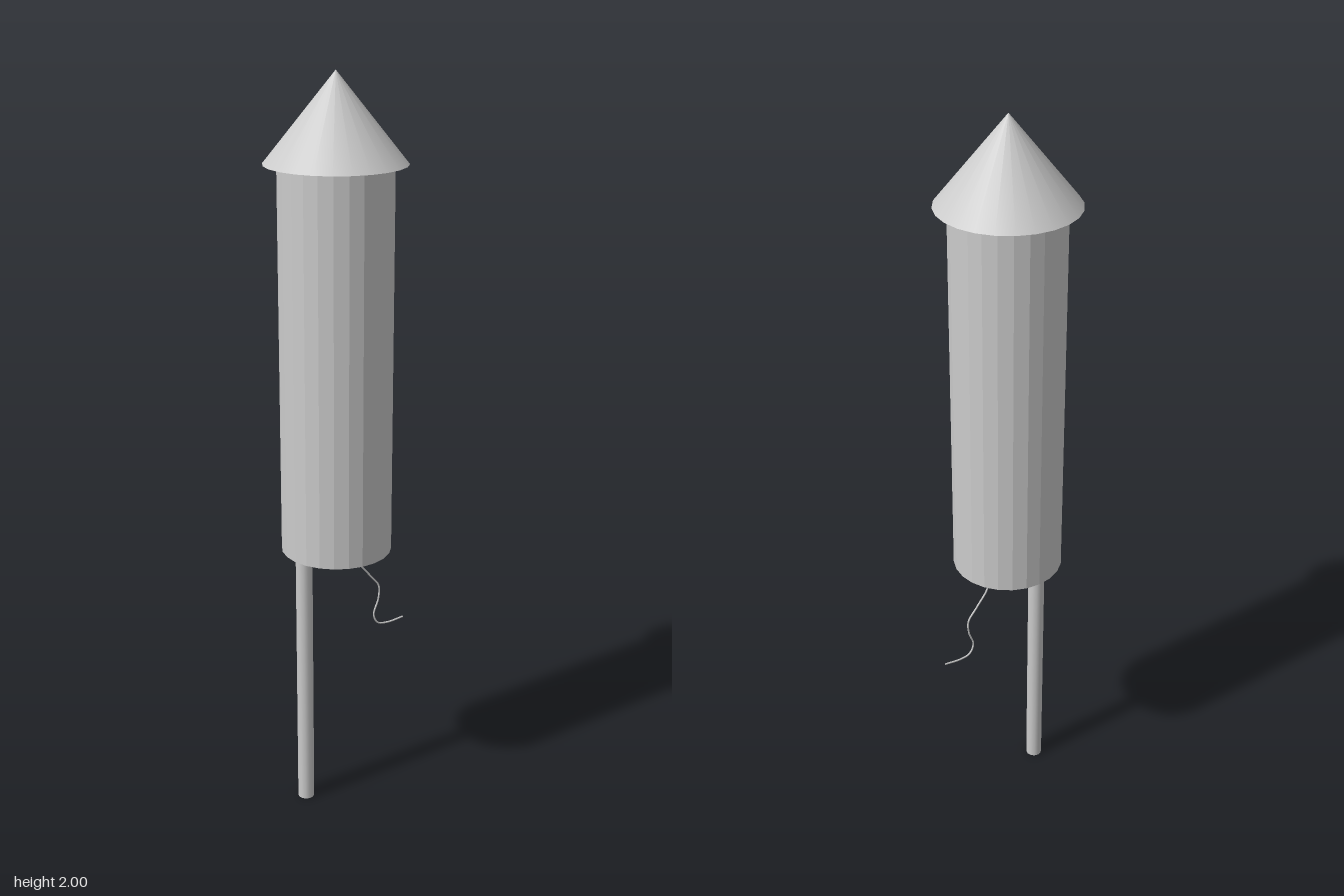
import * as THREE from 'three';

const AXIS_X = -0.017;

export function createModel() {
  const rocket = new THREE.Group();
  rocket.name = 'fireworkRocket';

  const smooth = new THREE.MeshStandardMaterial({ color: 0xcccccc });
  const faceted = new THREE.MeshStandardMaterial({ color: 0xcccccc, flatShading: true });

  const add = (name, geometry, material, x = 0, y = 0, z = 0) => {
    const mesh = new THREE.Mesh(geometry, material);
    mesh.name = name;
    mesh.position.set(x, y, z);
    rocket.add(mesh);
  };

  // Pointed cap overhanging the tube, with a closed underside
  const capBase = 1.775, capHeight = 2 - capBase;
  add('noseCone', new THREE.ConeGeometry(0.182, capHeight, 24), smooth,
    AXIS_X, capBase + capHeight / 2, 0);

  // Faceted paper tube
  const tubeBase = 0.75, tubeHeight = capBase - tubeBase;
  add('bodyTube', new THREE.CylinderGeometry(0.147, 0.147, tubeHeight, 24), faceted,
    AXIS_X, tubeBase + tubeHeight / 2, 0);

  // Guide stick, off to one side
  add('stick', new THREE.CylinderGeometry(0.0225, 0.0225, tubeBase, 12), smooth,
    -0.111, tubeBase / 2, -0.007);

  // Thin curling fuse
  const fusePath = new THREE.CatmullRomCurve3([
    [0.06, 0.755], [0.056, 0.69], [0.093, 0.637], [0.121, 0.6], [0.12, 0.56],
    [0.106, 0.515], [0.119, 0.487], [0.15, 0.481], [0.199, 0.487],
  ].map(([x, y]) => new THREE.Vector3(x, y, -0.011)));
  add('fuse', new THREE.TubeGeometry(fusePath, 48, 0.0025, 8),
    new THREE.MeshStandardMaterial({ color: 0xcccccc, side: THREE.DoubleSide }));

  return rocket;
}
